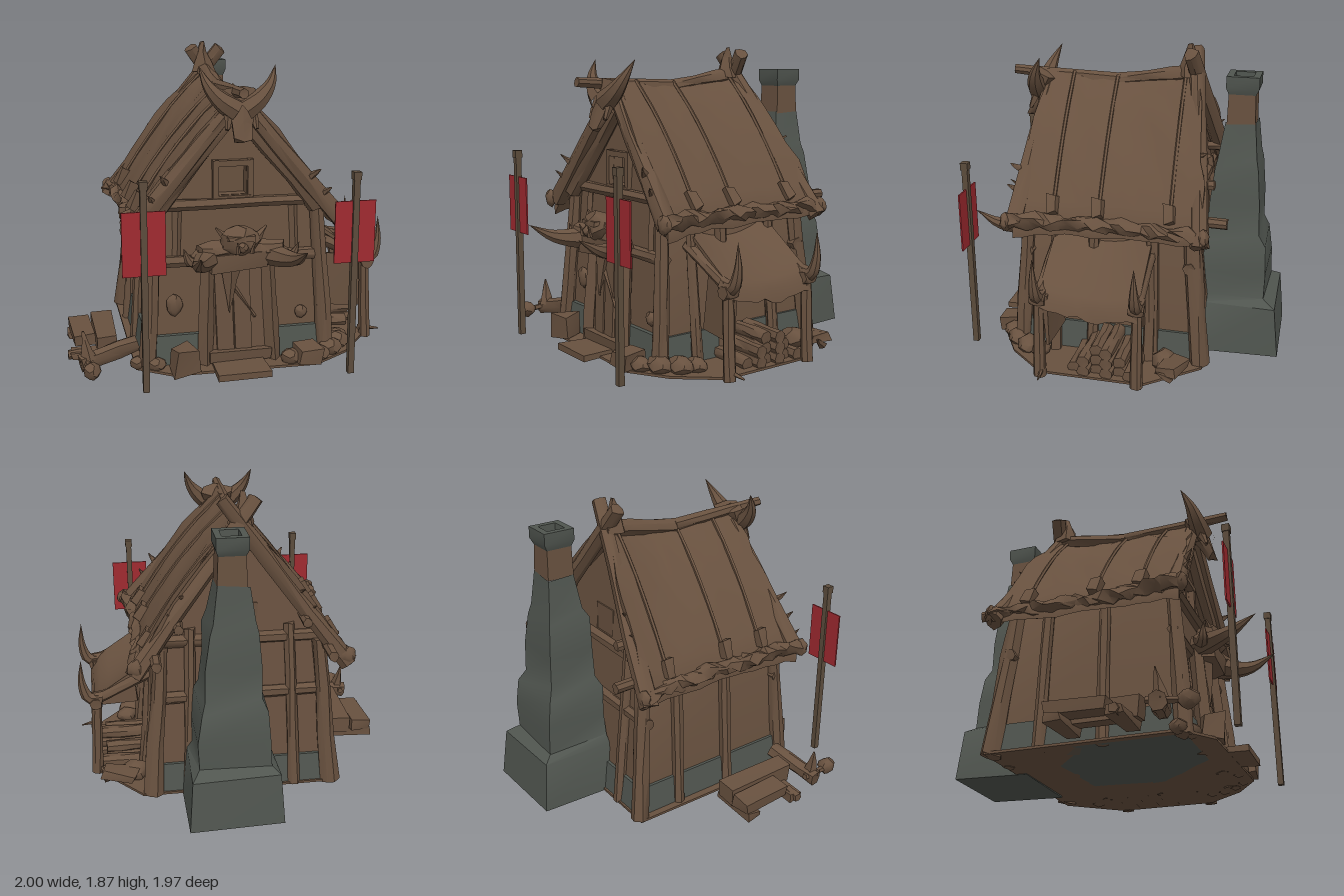
import * as THREE from 'three';
import { toCreasedNormals } from 'three/addons/utils/BufferGeometryUtils.js';

const V = (x, y, z) => new THREE.Vector3(x, y, z);
const flat = (name, color) => Object.assign(new THREE.MeshStandardMaterial({ color }), { name });
const outline = pts => pts.map(p => new THREE.Vector2(...p));

// Repeatable offset that depends only on position, so shared corners stay joined
function noise(x, y, z, k) {
  const q = Math.round(x * 500) * 12.9 + Math.round(y * 500) * 78.2 + Math.round(z * 500) * 37.7 + k * 4.1;
  const n = Math.sin(q) * 43758.5;
  return n - Math.floor(n) - 0.5;
}

// Move every vertex by a rule
function shape(geo, rule) {
  const p = geo.attributes.position, v = V(0, 0, 0);
  for (let i = 0; i < p.count; i++) {
    v.fromBufferAttribute(p, i);
    rule(v);
    p.setXYZ(i, v.x, v.y, v.z);
  }
  return geo;
}
const rough = (geo, a) => shape(geo, v => {
  const { x, y, z } = v;
  v.add(V(noise(x, y, z, 1) * a, noise(x, y, z, 2) * a, noise(x, y, z, 3) * a));
});

export function createModel() {
  const root = new THREE.Group();
  root.name = 'hut';
  const wood = flat('brown wood', 0x68513f);
  const stone = flat('grey stone', 0x50554f);
  const cloth = flat('red cloth', 0xa02a30);
  const pole = flat('pole brown', 0x5c4c3c);

  function add(name, geo, mat = wood, pos) {
    const m = new THREE.Mesh(toCreasedNormals(geo, 0.7), mat);
    m.name = name;
    if (pos) m.position.set(...pos);
    root.add(m);
    return m;
  }
  function box(name, size, pos, mat = wood, rot = [0, 0, 0], a = 0) {
    const m = add(name, rough(new THREE.BoxGeometry(...size), a), mat, pos);
    m.rotation.set(...rot);
    return m;
  }
  // Tapered log between two points
  function log(name, a, b, r0, r1 = r0, sides = 7) {
    const A = V(...a), B = V(...b), d = B.clone().sub(A);
    const g = rough(new THREE.CylinderGeometry(r1, r0, d.length(), sides, 3), r0 * 0.25);
    const m = add(name, g);
    m.position.copy(A).lerp(B, 0.5);
    m.quaternion.setFromUnitVectors(V(0, 1, 0), d.normalize());
    return m;
  }
  // Curved horn that narrows to a point
  function horn(name, pts, r) {
    const c = new THREE.CatmullRomCurve3(pts.map(p => V(...p)));
    const g = new THREE.TubeGeometry(c, 10, r, 7);
    const p = g.attributes.position, v = V(0, 0, 0);
    for (let i = 0; i < p.count; i++) {
      const t = Math.floor(i / 8) / 10;
      v.fromBufferAttribute(p, i).lerp(c.getPointAt(t), Math.pow(t, 1.4));
      p.setXYZ(i, v.x, v.y, v.z);
    }
    add(name, g);
  }
  const rock = (name, pos, size, mat = wood) =>
    add(name, rough(new THREE.IcosahedronGeometry(1, 1), 0.3).scale(...size), mat, pos);
  // Rectangular rings [y, half width, back z, front z] joined into a shell
  function loft(name, rings, cx, mat, a = 0) {
    const pos = [];
    const corners = ([y, h, z0, z1]) => [[cx - h, y, z1], [cx + h, y, z1], [cx + h, y, z0], [cx - h, y, z0]];
    for (let i = 0; i + 1 < rings.length; i++) {
      const p = corners(rings[i]), q = corners(rings[i + 1]);
      for (let j = 0; j < 4; j++) {
        const k = (j + 1) % 4;
        pos.push(...p[j], ...p[k], ...q[k], ...p[j], ...q[k], ...q[j]);
      }
    }
    const g = new THREE.BufferGeometry();
    g.setAttribute('position', new THREE.Float32BufferAttribute(pos, 3));
    add(name, rough(g, a), mat);
  }

  // Walls: gabled prism leaning inward, with a window recess
  const gable = new THREE.Shape(outline([[-0.54, 0.01], [0.54, 0.01], [0.47, 1], [0.25, 1.32], [0, 1.56], [-0.25, 1.32], [-0.47, 1]]));
  gable.holes.push(new THREE.Path(outline([[-0.1, 1.01], [-0.1, 1.18], [0.07, 1.18], [0.07, 1.01]])));
  add('walls', shape(new THREE.ExtrudeGeometry(gable, { depth: 1, bevelEnabled: false }), v => {
    v.z = THREE.MathUtils.lerp(-0.52 + 0.1 * v.y, 0.57 - 0.07 * v.y, v.z);
  }));
  box('windowShutter', [0.18, 0.18, 0.84], [-0.015, 1.095, 0.01]);
  loft('foundation', [[0, 0, 0, 0], [0, 0.57, -0.55, 0.61], [0.19, 0.545, -0.52, 0.585], [0.19, 0.4, -0.4, 0.4]], 0, stone);
  const ground = new THREE.Shape(outline([[-0.61, 0.56], [-0.62, -0.6], [-0.42, -0.74], [0.45, -0.76], [0.68, -0.62],
    [0.88, -0.38], [0.88, 0.25], [0.62, 0.56]]));
  add('floor', new THREE.ExtrudeGeometry(ground, { depth: 0.015, bevelEnabled: false }).rotateX(-Math.PI / 2));

  // Thatched roof: one sheet bent over the ridge
  const roofY = (x, z) => 1.62 - 0.85 * Math.abs(x) - 0.65 * x * x + (z > 0 ? 0.08 : 0.5) * z * z * (1 - Math.abs(x));
  add('roof', shape(new THREE.BoxGeometry(2, 1, 1, 16, 1, 14), v => {
    const s = Math.abs(v.x), t = v.z + 0.5, top = v.y > 0;
    const end = Math.abs(v.z) > 0.49 ? noise(v.x, 0, v.z, 7) * 0.03 : 0;
    const z = THREE.MathUtils.lerp(-0.4 - 0.15 * s, 0.56 + 0.06 * s, t) + end;
    const x = v.x * (0.61 + 0.12 * v.z * v.z);
    const y = roofY(x, z) + noise(v.x, 0, v.z, 6) * 0.025;
    v.set(x, top ? y : y - 0.06, z);
  }));
  for (const s of [-1, 1]) {
    // Ragged eave roll, rope lines and their knots
    const eave = [-0.55, -0.4, -0.2, 0, 0.2, 0.4, 0.64].map((z, i) => V(s * (0.595 + 0.14 * z * z), 0.865 + 0.012 * (i % 2), z));
    add('eaveRoll', rough(new THREE.TubeGeometry(new THREE.CatmullRomCurve3(eave), 22, 0.043, 7), 0.04));
    for (const e of [eave[0], eave[6]]) rock('eaveEnd', [e.x, e.y, e.z], [0.05, 0.055, 0.035]);
    for (const z of [-0.32, 0.11, 0.39]) {
      const pts = [0, 0.2, 0.4, 0.57].map(x => V(s * x, roofY(x, z) + 0.012, z - x * 0.04));
      add('roofRope', new THREE.TubeGeometry(new THREE.CatmullRomCurve3(pts), 8, 0.012, 5));
      box('ropeKnot', [0.06, 0.11, 0.06], [s * 0.565, 0.97, z - 0.02], wood, [0.1, 0, s * 0.5], 0.02);
    }
    // Gable poles, thick in front and crossed at the back
    log('frontGablePole', [s * 0.62, 0.86, 0.6], [s * 0.03, 1.55, 0.55], 0.06, 0.05);
    log('innerGablePole', [s * 0.5, 0.93, 0.55], [s * 0.05, 1.47, 0.51], 0.06, 0.055);
    log('backGablePole', [s * 0.65, 0.81, -0.53], [-s * 0.1, 1.81, -0.36], 0.06, 0.045);
    for (const [x, y] of [[0.54, 1.06], [0.47, 1.17]]) {
      log('frontThorn', [s * (x - 0.05), y - 0.06, 0.6], [s * x, y, 0.66], 0.03, 0.003, 5);
      log('backThorn', [s * (x - 0.15), y + 0.06, -0.44], [s * (x - 0.1), y + 0.12, -0.51], 0.03, 0.003, 5);
    }
    // Purlin ends and wall posts
    log('purlin', [s * 0.52, 0.92, -0.67], [s * 0.52, 0.94, 0.58], 0.033);
    log('shortPurlin', [s * 0.38, 1.1, -0.57], [s * 0.38, 1.1, -0.4], 0.03);
    for (const z of [-0.24, 0.14]) log('sidePost', [s * 0.56, 0, z], [s * 0.5, 0.92, z * 0.95], 0.04, 0.035);
    log('frontCornerPost', [s * 0.55, 0, 0.6], [s * 0.49, 0.95, 0.54], 0.055, 0.04);
    log('backCornerPost', [s * 0.56, 0, -0.54], [s * 0.48, 0.95, -0.45], 0.06, 0.045);
    // Door posts and upper studs
    log('doorPost', [s * 0.21, 0, 0.63], [s * 0.18, 0.66, 0.58], 0.048, 0.042, 4);
    log('frontStud', [s * 0.36, 0.64, 0.53], [s * 0.35, 0.97, 0.51], 0.025, 0.025, 4);
    log('backStud', [s * 0.33, 0, -0.54], [s * 0.3, 1.05, -0.42], 0.04, 0.035);
    // Tusks over the door
    horn('doorHorn', [[s * 0.16, 0.68, 0.6], [s * 0.23, 0.67, 0.7], [s * 0.285, 0.69, 0.83], [s * 0.3, 0.77, 0.98]], 0.075);
    log('doorArm', [s * 0.06, 0.72, 0.62], [s * 0.25, 0.71, 0.66], 0.06, 0.055);
    horn('shoulderHorn', [[s * 0.22, 0.69, 0.63], [s * 0.3, 0.66, 0.66], [s * 0.345, 0.75, 0.68]], 0.05);
    log('maskEar', [s * 0.07, 0.77, 0.66], [s * 0.15, 0.85, 0.65], 0.04, 0.004, 5);
    log('maskTusk', [s * 0.04, 0.72, 0.75], [s * 0.05, 0.79, 0.77], 0.015, 0.003, 5);
    // Ridge skull horns
    horn('skullHorn', [[s * 0.02, 1.52, 0.62], [s * 0.11, 1.58, 0.61], [s * 0.18, 1.66, 0.59], [s * 0.225, 1.77, 0.54]], 0.07);
    log('skullCheek', [s * 0.06, 1.57, 0.6], [s * 0.085, 1.42, 0.66], 0.04, 0.01, 5);
    // Banner on a pole
    box('bannerPole', [0.036, 1.18, 0.036], [s * 0.6, 0.59, 0.9], pole);
    box('bannerCap', [0.046, 0.045, 0.046], [s * 0.6, 1.178, 0.9], pole);
    box('banner', [0.24, 0.36, 0.009], [s * 0.6, 0.853, 0.9], cloth);
  }

  // Ridge pole, rear spike and front skull
  log('ridgePoleFront', [-0.02, 1.635, 0.79], [-0.02, 1.6, 0.1], 0.028, 0.045);
  log('ridgePoleBack', [-0.02, 1.6, 0.1], [-0.02, 1.68, -0.4], 0.045, 0.05);
  log('rearSpike', [-0.02, 1.66, -0.34], [-0.02, 1.85, -0.34], 0.08, 0.012, 5);
  log('skull', [0, 1.63, 0.56], [0, 1.36, 0.68], 0.12, 0.045, 6).scale.z = 0.6;

  // Front timbers, window frame, door, lintel and mask
  log('upperBeam', [-0.44, 0.965, 0.525], [0.44, 0.965, 0.525], 0.035, 0.035, 6);
  log('lowerBeam', [-0.54, 0.635, 0.55], [0.54, 0.635, 0.55], 0.035, 0.035, 6);
  log('backUpperBeam', [-0.5, 0.97, -0.42], [0.5, 0.97, -0.42], 0.04);
  log('backLowerBeam', [-0.55, 0.62, -0.46], [0.55, 0.62, -0.46], 0.04);
  for (const s of [-1, 1]) {
    box('windowJamb', [0.035, 0.25, 0.06], [-0.015 + s * 0.105, 1.095, 0.495]);
    box('windowRail', [0.24, 0.035, 0.065], [-0.015, 1.095 + s * 0.105, 0.495]);
  }
  box('door', [0.34, 0.6, 0.05], [0, 0.32, 0.575], wood, [-0.06, 0, 0]);
  for (const x of [-0.09, 0.02]) box('doorPlank', [0.1, 0.54, 0.02], [x, 0.32, 0.605], wood, [-0.06, 0, 0.03], 0.01);
  log('doorTusk', [-0.05, 0.6, 0.6], [-0.06, 0.33, 0.63], 0.06, 0.004, 5);
  log('doorBrace', [-0.1, 0.58, 0.6], [0.1, 0.28, 0.61], 0.02, 0.01, 4);
  box('threshold', [0.38, 0.06, 0.08], [0, 0.06, 0.63], wood, [0, 0, 0], 0.01);
  box('doorStep', [0.31, 0.03, 0.24], [-0.02, 0.018, 0.745], wood, [0, 0.02, 0], 0.015);
  box('lintel', [0.34, 0.11, 0.1], [-0.01, 0.65, 0.64], wood, [0, 0, 0], 0.03);
  rock('mask', [-0.01, 0.77, 0.66], [0.12, 0.09, 0.08]);
  rock('maskNose', [-0.01, 0.75, 0.74], [0.03, 0.03, 0.03]);
  box('maskBrow', [0.16, 0.03, 0.03], [-0.01, 0.8, 0.72], wood, [0, 0, 0], 0.015);
  rock('wallShield', [-0.38, 0.37, 0.56], [0.05, 0.065, 0.03]);
  rock('wallPatch', [0.4, 0.27, 0.56], [0.04, 0.04, 0.03]);

  // Stepped chimney with a hollow cap
  loft('chimney', [[0, 0, -0.7, -0.7], [0, 0.275, -0.98, -0.5], [0.32, 0.255, -0.955, -0.49], [0.36, 0.215, -0.885, -0.5],
    [0.52, 0.21, -0.88, -0.5], [0.7, 0.2, -0.87, -0.5], [0.76, 0.165, -0.83, -0.52], [0.95, 0.16, -0.82, -0.53],
    [1.16, 0.145, -0.81, -0.54], [1.22, 0.12, -0.79, -0.57], [1.43, 0.085, -0.77, -0.6]], 0.095, stone, 0.02);
  loft('chimneyNeck', [[1.42, 0.085, -0.77, -0.6], [1.61, 0.078, -0.765, -0.605]], 0.1, wood);
  loft('chimneyCap', [[1.6, 0.078, -0.765, -0.605], [1.64, 0.092, -0.785, -0.59], [1.71, 0.092, -0.785, -0.59],
    [1.71, 0.055, -0.745, -0.63], [1.58, 0.05, -0.74, -0.64], [1.58, 0, -0.69, -0.69]], 0.1, stone);

  // Lean-to: sagging hide on hooked posts, with a torn edge hanging down
  add('hideCanopy', shape(new THREE.BoxGeometry(1, 1, 1, 8, 1, 10), v => {
    const u = Math.min((v.x + 0.5) / 0.8, 1), hang = Math.max(v.x - 0.3, 0) / 0.2;
    const mid = 1 - 4 * v.z * v.z, tear = hang > 0.9 ? noise(1, 0, v.z, 4) * 0.07 : 0;
    v.set(0.48 + 0.4 * u + 0.02 * hang + v.y * 0.025 * hang,
      0.8 - 0.27 * u - 0.08 * mid * (1 - 0.6 * u) - 0.08 * hang + tear + v.y * 0.025 * (1 - hang), 0.07 + v.z * 0.6);
  }));
  box('hideSide', [0.27, 0.34, 0.025], [0.75, 0.37, 0.32], wood, [0, 0, -0.1], 0.02);
  for (const z of [0.37, -0.22]) {
    log('leanToPost', [0.9, 0, z], [0.87, 0.56, z], 0.038, 0.032);
    log('leanToWallPost', [0.6, 0, z], [0.52, 0.84, z], 0.035, 0.03);
    log('leanToArm', [0.5, 0.7, z], [0.92, 0.5, z], 0.035);
    horn('leanToHook', [[0.84, 0.53, z], [0.92, 0.53, z], [0.96, 0.63, z], [0.96, 0.79, z]], 0.045);
    log('postBinding', [0.885, 0.5, z - 0.045], [0.885, 0.5, z + 0.045], 0.04);
  }
  // Stacked firewood
  for (let row = 0; row < 3; row++) for (let i = 0; i < 6 - row * 2; i++) {
    const z = -0.17 + row * 0.07 + i * 0.07;
    log('firewood', [0.56, 0.04 + row * 0.065, z], [0.87 - 0.04 * ((i + row) % 2), 0.04 + row * 0.065, z], 0.04);
  }

  // Plank stack, fallen log and spiked stump on the right
  box('plank', [0.13, 0.11, 0.48], [-0.765, 0.1, 0.2], wood, [0, 0, 0.06], 0.02);
  box('outerPlank', [0.13, 0.07, 0.34], [-0.9, 0.09, 0.13], wood, [0, 0.05, 0.1], 0.02);
  for (const z of [0.02, 0.36]) box('plankRest', [0.3, 0.05, 0.09], [-0.83, 0.03, z], wood, [0, 0, 0], 0.015);
  log('plankEnd', [-1, 0.03, 0.36], [-0.9, 0.04, 0.36], 0.03, 0.03, 5);
  log('fallenLog', [-0.6, 0.13, 0.5], [-0.94, 0.06, 0.57], 0.05, 0.05);
  log('axeHandle', [-0.91, 0.08, 0.5], [-0.89, 0.06, 0.74], 0.02, 0.02, 5);
  rock('axeHead', [-0.885, 0.07, 0.72], [0.05, 0.05, 0.06]);
  log('stumpSpike', [-0.89, 0.08, 0.57], [-0.92, 0.25, 0.56], 0.05, 0.004, 5);

  // Boulders, sacks and scrap round the walls
  box('boulder', [0.14, 0.15, 0.13], [-0.36, 0.09, 0.71], wood, [0, 0.3, 0], 0.04);
  box('crate', [0.14, 0.09, 0.16], [0.4, 0.06, 0.72], wood, [0, 0.05, 0], 0.025);
  for (const [x, z, r] of [[0.3, 0.7, 0.06], [0.48, 0.69, 0.06], [0.57, 0.62, 0.07], [0.65, 0.53, 0.07], [0.68, 0.44, 0.06],
    [-0.5, 0.63, 0.05], [-0.6, 0.58, 0.05], [0.66, -0.34, 0.08]]) rock('stoneSack', [x, r * 0.7, z], [r * 1.1, r * 0.8, r]);
  box('leaningScrap', [0.2, 0.06, 0.13], [0.75, 0.08, -0.4], wood, [0, -0.25, 0.15], 0.03);
  log('scrapHook', [0.83, 0.04, -0.41], [0.87, 0.1, -0.33], 0.03, 0.006, 5);
  log('strayRoot', [0.86, 0.05, 0.36], [1, 0.03, 0.35], 0.02, 0.004, 5);
  return root;
}
